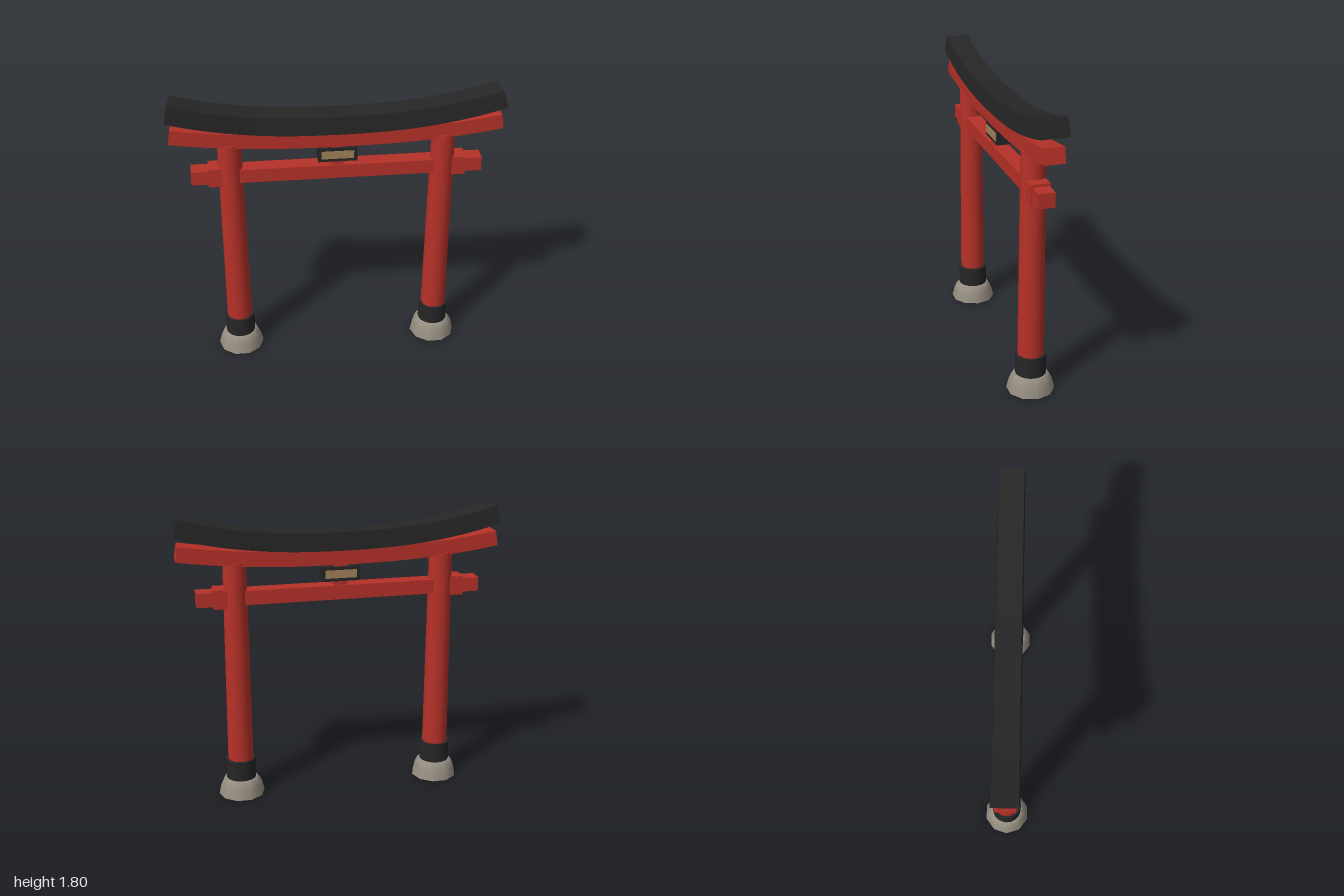
import * as THREE from 'three';

const paint = (name, color) => {
  const m = new THREE.MeshStandardMaterial({ color });
  m.name = name;
  return m;
};

export function createModel() {
  const red = paint('vermilion', 0xb63128);
  const black = paint('black lacquer', 0x262626);
  const stone = paint('stone', 0x958d80);
  const tan = paint('tan wood', 0xa08259);

  const group = new THREE.Group();
  group.name = 'gate';

  const add = (name, geometry, material, x = 0, y = 0, z = 0, parent = group) => {
    const mesh = new THREE.Mesh(geometry, material);
    mesh.name = name;
    mesh.position.set(x, y, z);
    parent.add(mesh);
    return mesh;
  };
  const box = (w, h, d) => new THREE.BoxGeometry(w, h, d);

  // Beam bent upward toward both ends, its cross-section square to the curve
  const curvedBeam = (half, height, depthTop, depthBottom, rise, power) => {
    const g = new THREE.BoxGeometry(2 * half, height, 1, 24, 1, 1);
    const p = g.attributes.position;
    for (let i = 0; i < p.count; i++) {
      const u = p.getX(i), v = p.getY(i);
      const t = Math.abs(u) / half;
      const slope = Math.sign(u) * rise * power * Math.pow(t, power - 1) / half;
      const len = Math.hypot(1, slope);
      const depth = v > 0 ? depthTop : depthBottom;
      p.setXYZ(i, u - v * slope / len, rise * Math.pow(t, power) + v / len, p.getZ(i) * depth);
    }
    g.computeVertexNormals();
    return g;
  };

  // Top lintels
  add('topLintel', curvedBeam(0.984, 0.112, 0.146, 0.16, 0.12, 2.4), black, 0, 1.623);
  add('lowerLintel', curvedBeam(0.982, 0.092, 0.12, 0.12, 0.068, 2.4), red, 0, 1.522);

  // Straight tie beam
  add('tieBeam', box(1.754, 0.088, 0.098), red, 0, 1.3);

  // Pillars with sleeve, footing and wedge
  const footProfile = [[0.145, 0], [0.131, 0.06], [0.118, 0.09], [0.1, 0.112], [0.07, 0.112]]
    .map(([r, y]) => new THREE.Vector2(r, y));
  for (const side of [-1, 1]) {
    const post = new THREE.Group();
    post.name = side > 0 ? 'leftPost' : 'rightPost';
    post.position.x = side * 0.64;
    group.add(post);
    add('pillar', new THREE.CylinderGeometry(0.071, 0.081, 1.405, 20), red, 0, 0.8125, 0, post);
    add('sleeve', new THREE.CylinderGeometry(0.094, 0.094, 0.135, 20), black, 0, 0.1725, 0, post);
    const foot = add('footing', new THREE.LatheGeometry(footProfile, 10), stone, 0, 0, 0, post);
    foot.rotation.y = Math.PI / 2;
    const sole = add('footingBottom', new THREE.CircleGeometry(0.145, 10), stone, 0, 0, 0, post);
    sole.rotation.x = Math.PI / 2;
    add('wedge', box(0.08, 0.118, 0.114), red, side * 0.095, 1.3, 0, post);
  }

  // Central strut and the framed plaque it carries
  add('strut', box(0.08, 0.15, 0.08), red, 0, 1.41);
  add('plaqueFrame', box(0.236, 0.09, 0.1), black, 0, 1.416);
  for (const z of [-0.051, 0.051]) {
    add('plaquePanel', box(0.194, 0.05, 0.006), tan, 0, 1.416, z);
  }

  return group;
}
